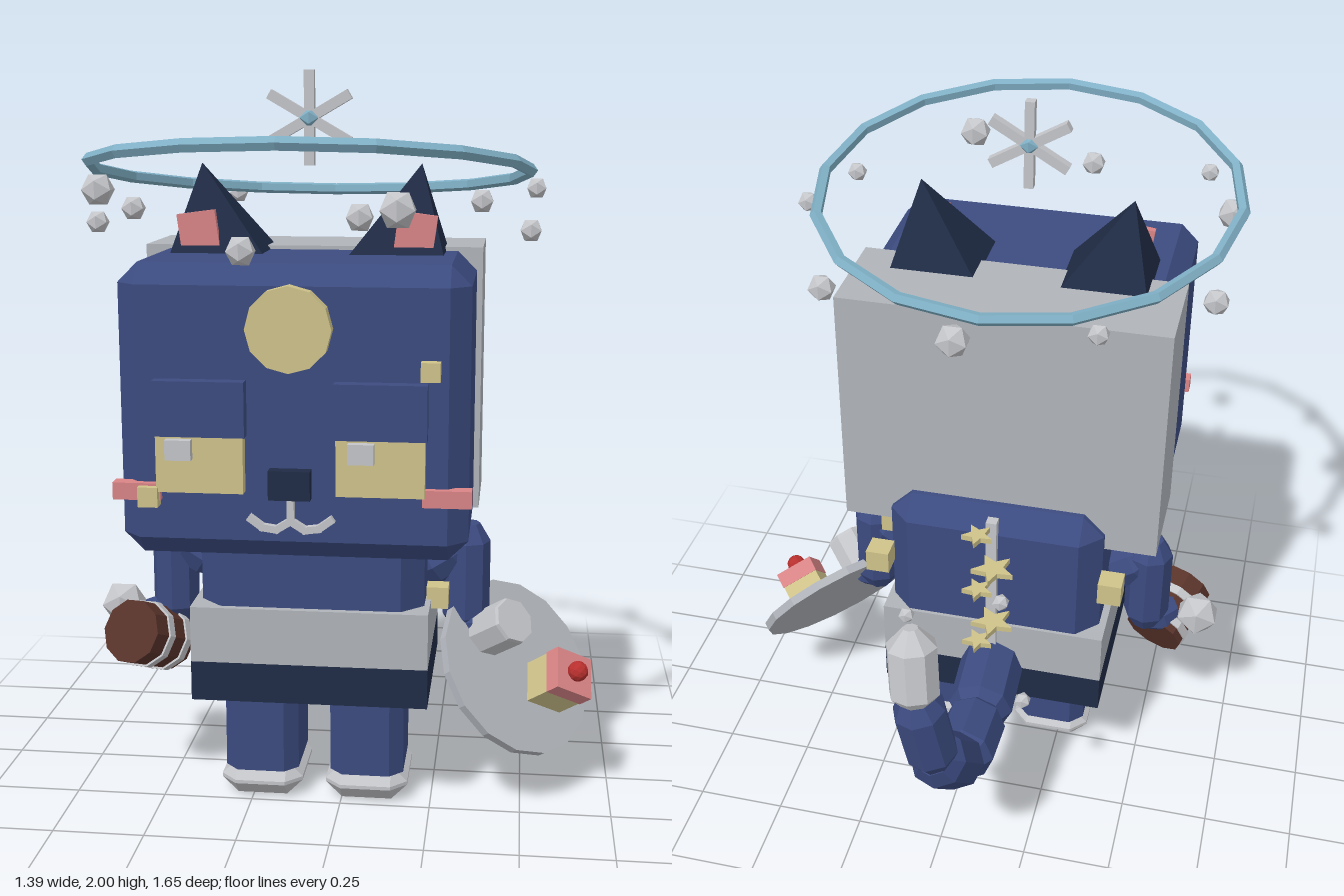
import * as THREE from 'three';
import { ConvexGeometry } from 'three/addons/geometries/ConvexGeometry.js';

const V = (x, y, z) => new THREE.Vector3(x, y, z);
const CX = -0.078; // body centre line

export function createModel() {
  const root = new THREE.Group();
  const mat = (name, color) => {
    const m = new THREE.MeshStandardMaterial({ color, flatShading: true });
    m.name = name;
    return m;
  };
  const blue = mat('navy blue', 0x3c4b80), dark = mat('dark navy', 0x1f2b45);
  const grey = mat('cool grey', 0xb0b4ba), pale = mat('pale grey', 0xc4c5c9);
  const yellow = mat('soft yellow', 0xcfc38a), pink = mat('pink', 0xd98486);
  const red = mat('cherry red', 0xb8302e), brown = mat('brown', 0x58332a);
  const sky = mat('sky blue', 0x80b0c6);

  const add = (name, geo, material, parent = root) => {
    const m = new THREE.Mesh(geo, material);
    m.name = name;
    parent.add(m);
    return m;
  };
  // Box given by its limits on each axis
  const box = (name, m, x0, x1, y0, y1, z0, z1, parent) => {
    const g = new THREE.BoxGeometry(x1 - x0, y1 - y0, z1 - z0);
    g.translate((x0 + x1) / 2, (y0 + y1) / 2, (z0 + z1) / 2);
    return add(name, g, m, parent);
  };
  // Box with cut edges; cy = 0 cuts the vertical edges only
  const cutBox = (name, m, x0, x1, y0, y1, z0, z1, c, cy = c) => {
    const hx = (x1 - x0) / 2, hy = (y1 - y0) / 2, hz = (z1 - z0) / 2, pts = [];
    for (const i of [-1, 1]) for (const j of [-1, 1]) for (const k of [-1, 1]) {
      pts.push(V(i * hx, j * (hy - cy), k * (hz - c)), V(i * (hx - c), j * (hy - cy), k * hz));
      if (cy) pts.push(V(i * (hx - c), j * hy, k * (hz - c)));
    }
    add(name, new ConvexGeometry(pts), m).position.set((x0 + x1) / 2, (y0 + y1) / 2, (z0 + z1) / 2);
  };
  // Eight-sided limb with tapered ends between two points
  const limb = (name, m, a, b, r, end = 0.55, cap = 0.05) => {
    const L = a.distanceTo(b);
    const prof = [[0, 0], [r * end, 0], [r, cap], [r, L - cap], [r * end, L], [0, L]];
    const o = add(name, new THREE.LatheGeometry(prof.map(p => new THREE.Vector2(...p)), 8), m);
    o.position.copy(a);
    o.quaternion.setFromUnitVectors(V(0, 1, 0), b.clone().sub(a).normalize());
  };
  const cube = (name, m, x, y, z, s) =>
    box(name, m, x - s / 2, x + s / 2, y - s / 2, y + s / 2, z - s / 2, z + s / 2);
  const ball = (name, m, x, y, z, r) =>
    add(name, new THREE.IcosahedronGeometry(r, 0), m).position.set(x, y, z);

  // Head and its back shell
  cutBox('head', blue, -0.51, 0.355, 0.81, 1.54, -0.08, 0.6, 0.05);
  box('headShell', grey, -0.525, 0.37, 0.85, 1.55, -0.105, 0.185);

  // Torso and belt
  cutBox('torso', blue, -0.38, 0.23, 0.35, 0.96, -0.18, 0.3, 0.06);
  box('belt', grey, -0.4, 0.245, 0.43, 0.585, -0.19, 0.32);
  box('skirt', dark, -0.4, 0.245, 0.32, 0.43, -0.19, 0.32);

  for (const s of [-1, 1]) {
    // Legs and feet
    const lx = CX + s * 0.148;
    cutBox('leg', blue, lx - 0.103, lx + 0.103, 0.08, 0.36, -0.03, 0.235, 0.037, 0);
    cutBox('foot', pale, lx - 0.115, lx + 0.115, 0, 0.1, -0.035, 0.25, 0.045);

    // Ears: pyramids leaning outward with a pink inner panel
    const ear = new THREE.ConeGeometry(0.128 * Math.SQRT2, 0.24, 4);
    ear.rotateY(Math.PI / 4).translate(0, 0.12, 0);
    ear.applyMatrix4(new THREE.Matrix4().set(1, s * 0.25, 0, 0, 0, 1, 0, 0, 0, 0, 1, 0, 0, 0, 0, 1));
    add('ear', ear, dark).position.set(CX + s * 0.228, 1.525, 0.2);
    const inner = add('innerEar', new THREE.BoxGeometry(0.1, 0.095, 0.02), pink);
    inner.position.set(CX + s * 0.28, 1.597, 0.3);
    inner.rotation.z = -s * 0.13;

    // Eyes, lids and glints
    const ex = CX + s * 0.221;
    box('eye', yellow, ex - 0.108, ex + 0.108, 0.985, 1.125, 0.58, 0.632);
    box('eyelid', blue, ex - 0.113, ex + 0.113, 1.125, 1.262, 0.58, 0.638);
    const gx = ex + (s < 0 ? -0.048 : -0.045);
    box('eyeGlint', pale, gx - 0.032, gx + 0.032, 1.07, 1.12, 0.62, 0.655);
    const kx = CX + s * 0.382;
    box('cheek', pink, kx - 0.06, kx + 0.06, 0.96, 1.003, 0.58, 0.62);

    // Arms
    limb('shoulder', blue, V(CX + s * 0.28, 0.63, 0.065), V(CX + s * 0.42, 0.72, 0.065), 0.065);
    limb('arm', blue, V(CX + s * 0.415, 0.775, 0.065), V(CX + s * 0.415, 0.46, 0.065), 0.066);
    limb('forearm', blue, V(CX + s * 0.4, 0.47, 0.06), V(CX + s * 0.5, 0.5, 0.11), 0.055);
  }

  // Nose and mouth
  box('nose', dark, -0.13, -0.027, 0.972, 1.045, 0.59, 0.635);
  const stroke = (x0, y0, x1, y1) => {
    const g = new THREE.BoxGeometry(Math.hypot(x1 - x0, y1 - y0) + 0.012, 0.018, 0.03);
    const o = add('mouth', g, pale);
    o.position.set((x0 + x1) / 2, (y0 + y1) / 2, 0.603);
    o.rotation.z = Math.atan2(y1 - y0, x1 - x0);
  };
  stroke(CX, 0.965, CX, 0.915);
  for (const s of [-1, 1]) {
    const p = [[0, 0.915], [0.035, 0.893], [0.07, 0.898], [0.1, 0.92]];
    for (let i = 0; i < 3; i++) stroke(CX + s * p[i][0], p[i][1], CX + s * p[i + 1][0], p[i + 1][1]);
  }

  // Forehead medallion
  const medal = new THREE.CylinderGeometry(0.105, 0.105, 0.06, 12);
  add('medallion', medal.rotateX(Math.PI / 2), yellow).position.set(CX, 1.39, 0.607);

  // Small yellow cubes
  for (const c of [[0.262, 1.293, 0.608, 0.047], [-0.428, 0.972, 0.615, 0.05], [0.255, 0.785, -0.02, 0.06],
    [0.255, 0.755, -0.165, 0.066], [-0.413, 0.762, -0.165, 0.066], [0.262, 0.59, 0.155, 0.06]]) {
    cube('goldCube', yellow, ...c);
  }

  // Right hand holding a banded barrel
  ball('rightHand', pale, -0.645, 0.51, 0.08, 0.065);
  const barrel = new THREE.Group();
  barrel.name = 'barrel';
  barrel.position.set(-0.55, 0.443, 0.16);
  barrel.quaternion.setFromUnitVectors(V(0, 1, 0), V(-0.35, 0.4, 0.85).normalize());
  root.add(barrel);
  const disc = (name, m, r, h, y, n, parent) =>
    add(name, new THREE.CylinderGeometry(r, r, h, n), m, parent).position.set(0, y, 0);
  disc('barrelBody', brown, 0.09, 0.19, 0.005, 10, barrel);
  disc('barrelBand', pale, 0.096, 0.026, 0.03, 10, barrel);
  disc('barrelBand', pale, 0.096, 0.026, -0.055, 10, barrel);

  // Left hand, plate and cake, tilted together
  limb('leftHand', pale, V(0.385, 0.455, 0.09), V(0.475, 0.53, 0.17), 0.066, 0.95, 0.01);
  const n = V(0.62, 0.57, 0.55).normalize();
  const e = V(1, 0, 0).addScaledVector(n, -n.x).normalize();
  const tilt = new THREE.Matrix4().makeBasis(e, n, e.clone().cross(n));
  const tilted = (name, pos) => {
    const g = new THREE.Group();
    g.name = name;
    g.quaternion.setFromRotationMatrix(tilt);
    g.position.copy(pos);
    root.add(g);
    return g;
  };
  disc('plate', grey, 0.255, 0.025, 0, 16, tilted('plateGroup', V(0.48, 0.365, 0.085)));
  const cake = tilted('cake', V(0.65, 0.385, 0.162).addScaledVector(n, -0.155));
  box('sponge', yellow, -0.058, 0.058, 0, 0.095, -0.058, 0.058, cake);
  box('icing', pink, -0.06, 0.06, 0.095, 0.143, -0.06, 0.06, cake);
  add('cherry', new THREE.IcosahedronGeometry(0.029, 1), red, cake).position.y = 0.157;

  // Tail
  const tail = [V(-0.078, 0.435, -0.13), V(-0.085, 0.405, -0.38), V(-0.082, 0.42, -0.58),
    V(-0.055, 0.59, -0.74), V(-0.02, 0.81, -0.765)];
  for (let i = 0; i < 4; i++) {
    const d = tail[i + 1].clone().sub(tail[i]).normalize();
    limb('tailSegment', blue, tail[i].clone().addScaledVector(d, -0.02),
      tail[i + 1].clone().addScaledVector(d, 0.02), [0.092, 0.086, 0.078, 0.07][i], 0.6);
  }
  limb('tailTip', pale, V(-0.02, 0.79, -0.775), V(0, 1.02, -0.73), 0.066, 0.3);

  // Back strip with a ladder of flat stars
  box('backStrip', pale, CX - 0.015, CX + 0.015, 0.51, 0.955, -0.2, -0.17);
  for (let i = 0; i < 5; i++) {
    const big = i % 2, r = big ? 0.062 : 0.045, s = new THREE.Shape();
    for (let k = 0; k < 10; k++) {
      const a = Math.PI / 2 + k * Math.PI / 5, q = k % 2 ? r * 0.45 : r;
      s[k ? 'lineTo' : 'moveTo'](q * Math.cos(a), q * Math.sin(a));
    }
    const g = new THREE.ExtrudeGeometry(s, { depth: 0.016, bevelEnabled: false });
    add('star', g.rotateX(-Math.PI / 2), yellow)
      .position.set(big ? -0.1 : -0.052, 0.937 - i * 0.095, big ? -0.268 : -0.25);
  }

  // Tilted halo ring
  const ring = add('halo', new THREE.TorusGeometry(0.567, 0.017, 5, 16).rotateX(Math.PI / 2), sky);
  ring.position.set(CX, 1.75, 0.23);
  ring.rotation.x = -0.138;

  // Pinwheel above the head
  for (let i = 0; i < 3; i++) {
    const bar = add('pinwheelBar', new THREE.BoxGeometry(0.026, 0.24, 0.026), pale);
    bar.position.set(CX, 1.88, 0.23);
    bar.rotation.z = i * Math.PI / 3;
  }
  ball('pinwheelHub', sky, CX, 1.88, 0.23, 0.028);

  // Floating beads around the halo and the tail
  for (const b of [[-0.615, 1.63, -0.04, 0.036], [-0.615, 1.7, 0.32, 0.045], [-0.515, 1.645, 0.685, 0.028],
    [-0.16, 1.59, 0.79, 0.037], [0.19, 1.68, 0.73, 0.047], [0.49, 1.62, 0.505, 0.029],
    [0.505, 1.7, 0.125, 0.029], [0.355, 1.645, -0.225, 0.037], [-0.005, 1.59, -0.31, 0.046],
    [-0.365, 1.66, -0.315, 0.029], [-0.18, 0.965, -0.525, 0.023], [0.1, 0.79, -0.435, 0.023],
    [-0.235, 0.6, -0.49, 0.023], [0.01, 0.445, -0.56, 0.025]]) {
    ball('bead', pale, ...b);
  }
  return root;
}
